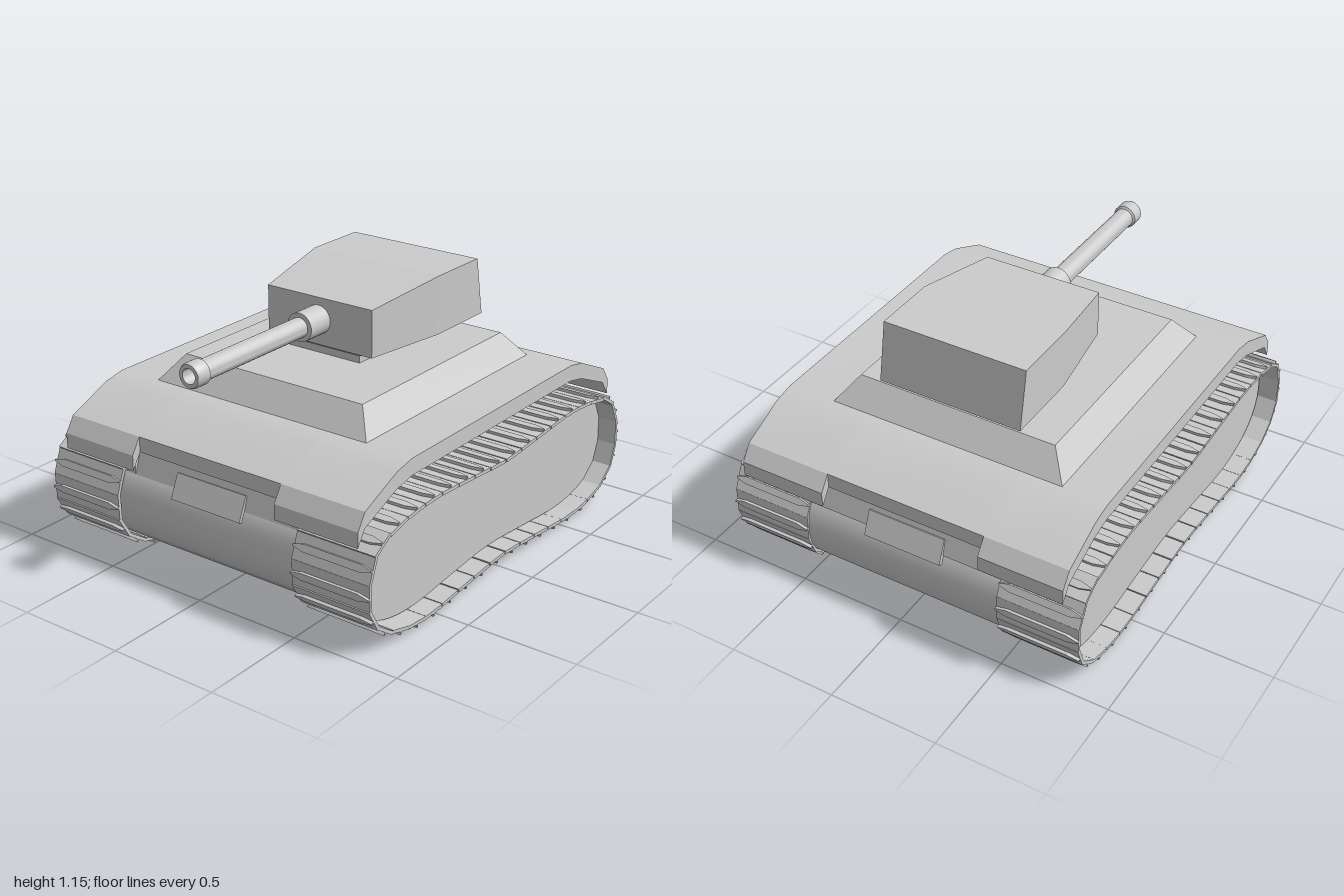
import * as THREE from 'three';
import { mergeGeometries, toCreasedNormals } from 'three/addons/utils/BufferGeometryUtils.js';
import { ConvexGeometry } from 'three/addons/geometries/ConvexGeometry.js';

const grey = new THREE.MeshStandardMaterial({ color: 0xcccccc });
const V2 = (p) => new THREE.Vector2(p[0], p[1]);

function add(parent, name, geometry) {
  const mesh = new THREE.Mesh(geometry, grey);
  mesh.name = name;
  parent.add(mesh);
  return mesh;
}

// Extrude a side profile of [z, y] points from x0 to x1
function extrudeX(points, x0, x1, crease = 0.2) {
  const g = new THREE.ExtrudeGeometry(new THREE.Shape(points.map(V2)), { depth: x1 - x0, bevelEnabled: false });
  g.rotateY(-Math.PI / 2).translate(x1, 0, 0);
  return toCreasedNormals(g, crease);
}

// Convex solid from [halfWidth, y, z] points mirrored around x = cx
function solid(points, cx) {
  return new ConvexGeometry(points.flatMap(([w, y, z]) =>
    [new THREE.Vector3(cx + w, y, z), new THREE.Vector3(cx - w, y, z)]));
}

// Outer loop of the track as [z, y], running front, bottom, back, top
const loop = new THREE.CatmullRomCurve3([
  [0.985, 0.28], [0.96, 0.17], [0.87, 0.075], [0.72, 0.02], [0.55, 0.005], [0.27, 0.027], [0, 0.045],
  [-0.27, 0.027], [-0.55, 0.005], [-0.72, 0.015], [-0.87, 0.06], [-0.965, 0.15], [-0.997, 0.28],
  [-0.975, 0.4], [-0.9, 0.5], [-0.75, 0.545], [-0.55, 0.563], [-0.27, 0.547], [0, 0.53],
  [0.27, 0.547], [0.55, 0.56], [0.78, 0.535], [0.91, 0.485], [0.966, 0.4],
].map(([z, y]) => new THREE.Vector3(z, y, 0)), true);

// Point on the loop and its outward normal
function onLoop(u) {
  const p = loop.getPointAt(u), t = loop.getTangentAt(u);
  return { z: p.x, y: p.y, nz: -t.y, ny: t.x };
}

function trackGeometry() {
  const count = 38, half = 0.19;
  const plate = new THREE.BoxGeometry(half * 2, 0.015, 0.116).translate(0, -0.02, 0).toNonIndexed();
  const outline = [[-half, -0.004], [-0.14, -0.016], [0.14, -0.016], [half, -0.004],
    [half, 0.004], [0.14, 0.016], [-0.14, 0.016], [-half, 0.004]];
  const bar = new THREE.ExtrudeGeometry(new THREE.Shape(outline.map(V2)), { depth: 0.015, bevelEnabled: false });
  bar.rotateX(-Math.PI / 2).translate(0, -0.014, 0);
  const link = mergeGeometries([plate, bar]);
  const links = [];
  for (let i = 0; i < count; i++) {
    const { z, y, nz, ny } = onLoop(i / count);
    links.push(link.clone().rotateX(Math.atan2(nz, ny)).translate(0, y, z));
  }
  return mergeGeometries(links);
}

function createHull(model) {
  // Lower body follows the inside of the tracks
  const profile = [];
  for (let i = 0; i < 80; i++) {
    const { z, y, nz, ny } = onLoop(i / 80);
    profile.push([z - nz * 0.03 - 0.012, y - ny * 0.03]);
  }
  add(model, 'lowerHull', extrudeX(profile, -0.76, 0.76, 0.6));

  // Body between the tracks, up to the deck
  add(model, 'upperHull', extrudeX([[0.91, 0.42], [0.87, 0.55], [0.68, 0.65], [-0.7, 0.65],
    [-0.91, 0.55], [-0.95, 0.42]], -0.465, 0.465));

  // Deck, shorter in the middle than over the tracks
  const top = [[0.91, 0.61], [0.7, 0.7], [0.6, 0.72], [-0.64, 0.72], [-0.74, 0.7], [-0.945, 0.61]];
  const under = [[-0.945, 0.54], [-0.74, 0.625], [-0.64, 0.645], [0.6, 0.645], [0.7, 0.625], [0.91, 0.54]];
  add(model, 'deck', extrudeX([...top, ...under], -0.39, 0.37, 0.5));
  const fender = [[0.955, 0.54], ...top, [-0.995, 0.54], [-0.995, 0.47], ...under, [0.955, 0.47]];
  add(model, 'rightFender', extrudeX(fender, -0.78, -0.39, 0.5));
  add(model, 'leftFender', extrudeX(fender, 0.37, 0.78, 0.5));

  // Sloping raised platform under the turret
  add(model, 'platform', solid([[0.565, 0.715, 0.595], [0.565, 0.715, -0.64],
    [0.475, 0.835, 0.5], [0.475, 0.835, -0.545]], -0.01));

  // End plates and fender brackets, front and back
  for (const s of [1, -1]) {
    const plate = add(model, s > 0 ? 'frontPlate' : 'backPlate', new THREE.BoxGeometry(0.37, 0.115, 0.05));
    plate.position.set(-0.01, 0.433, s * 0.915 - 0.02);
    plate.rotation.x = -s * 0.4;
    for (const side of [1, -1]) {
      add(model, 'fenderBracket', new THREE.BoxGeometry(0.05, 0.1, 0.06))
        .position.set(side * 0.447, 0.483, s * 0.9 - 0.02);
    }
  }
}

function createTurret() {
  const turret = new THREE.Group();
  turret.name = 'turret';

  // Stepped neck
  add(turret, 'neck', new THREE.BoxGeometry(0.39, 0.05, 0.64)).position.set(-0.01, 0.85, -0.18);
  add(turret, 'neckFlange', solid([[0.2, 0.868, 0.14], [0.2, 0.868, -0.51],
    [0.215, 0.89, 0.16], [0.215, 0.89, -0.54]], -0.01));

  // Faceted body, tapering to the front
  add(turret, 'turretBody', solid([[0.28, 0.885, 0.17], [0.28, 1.1, 0.17],
    [0.34, 0.885, -0.24], [0.34, 1.155, -0.24], [0.34, 0.885, -0.593], [0.34, 1.155, -0.545]], -0.01));

  // Gun with collar, muzzle and hollow bore, turned around z
  const gunProfile = [[0, 0.15], [0.065, 0.15], [0.065, 0.3], [0.045, 0.3], [0.045, 0.925], [0.055, 0.932],
    [0.055, 0.99], [0.05, 1], [0.033, 1], [0.033, 0.85], [0, 0.85]];
  const gun = new THREE.LatheGeometry(gunProfile.map(V2), 32).rotateX(Math.PI / 2);
  add(turret, 'gun', toCreasedNormals(gun, 0.5)).position.set(-0.015, 1, 0);
  return turret;
}

export function createModel() {
  const model = new THREE.Group();
  model.name = 'tank';
  createHull(model);
  model.add(createTurret());
  const links = trackGeometry();
  add(model, 'leftTrack', links).position.x = 0.66;
  add(model, 'rightTrack', links).position.x = -0.66;
  return model;
}
